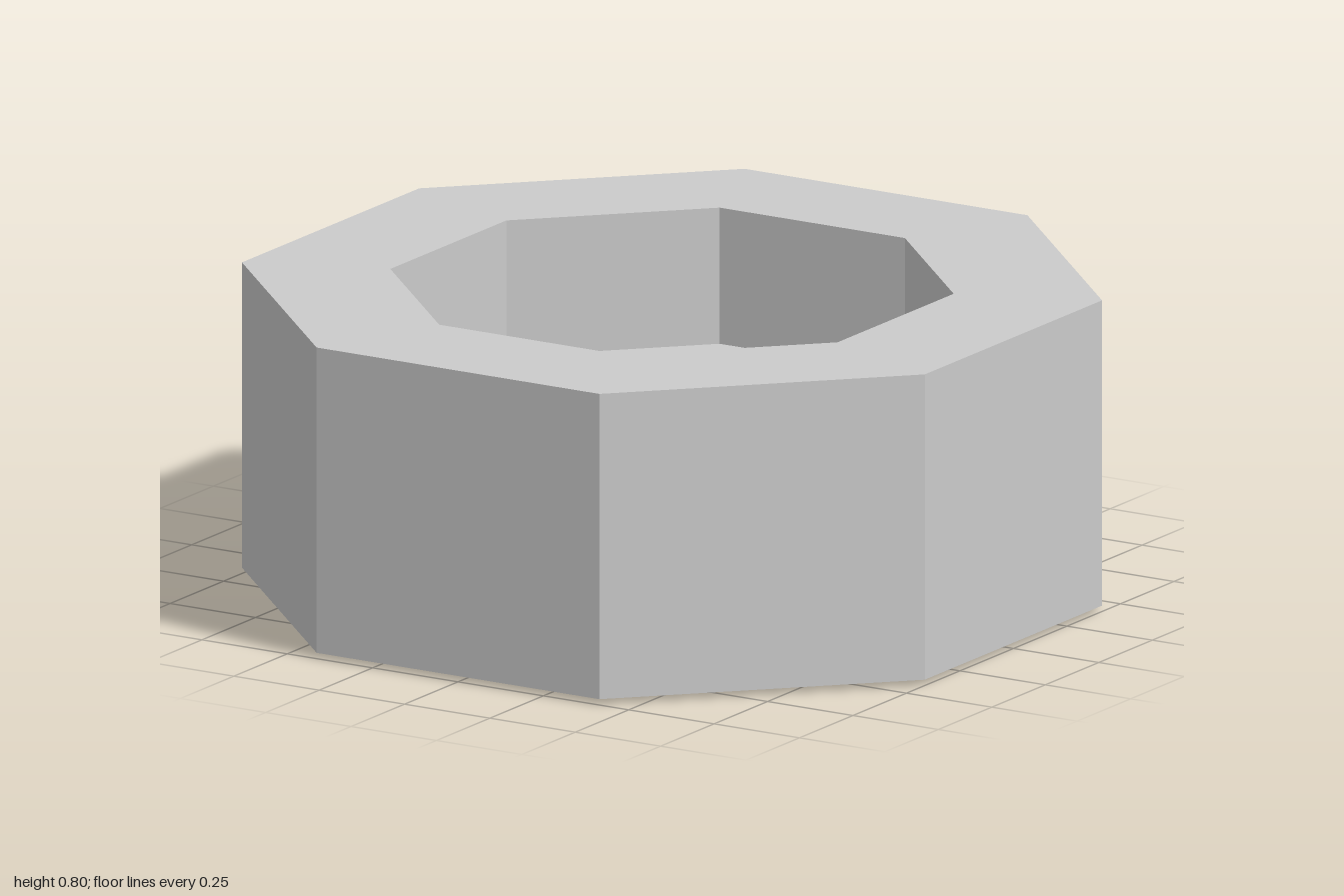
import * as THREE from 'three';

const material = new THREE.MeshStandardMaterial({ color: 0xcccccc, flatShading: true });

// Corners of a regular octagon with flat sides facing the axes
function octagon(apothem) {
  const radius = apothem / Math.cos(Math.PI / 8);
  return Array.from({ length: 8 }, (_, i) => {
    const a = Math.PI / 8 + (i * Math.PI) / 4;
    return new THREE.Vector2(radius * Math.cos(a), radius * Math.sin(a));
  });
}

// Upright prism between two heights, with an optional octagonal opening
function prism(name, outer, bottom, top, inner) {
  const shape = new THREE.Shape(octagon(outer));
  if (inner) shape.holes.push(new THREE.Path(octagon(inner)));
  const geometry = new THREE.ExtrudeGeometry(shape, { depth: top - bottom, bevelEnabled: false });
  geometry.rotateX(-Math.PI / 2).translate(0, bottom, 0);
  const mesh = new THREE.Mesh(geometry, material);
  mesh.name = name;
  return mesh;
}

export function createModel() {
  const model = new THREE.Group();
  model.name = 'octagonalWheel';

  // Thick outer rim and the recessed plate that closes it
  model.add(prism('rim', 1, 0.015, 0.8, 0.655));
  model.add(prism('webPlate', 0.655, 0.29, 0.45));

  // Square hub passing through the plate, a touch off centre
  const hub = new THREE.Mesh(new THREE.BoxGeometry(0.4, 0.55, 0.4), material);
  hub.name = 'hub';
  hub.position.set(-0.005, 0.275, -0.008);
  model.add(hub);

  return model;
}
